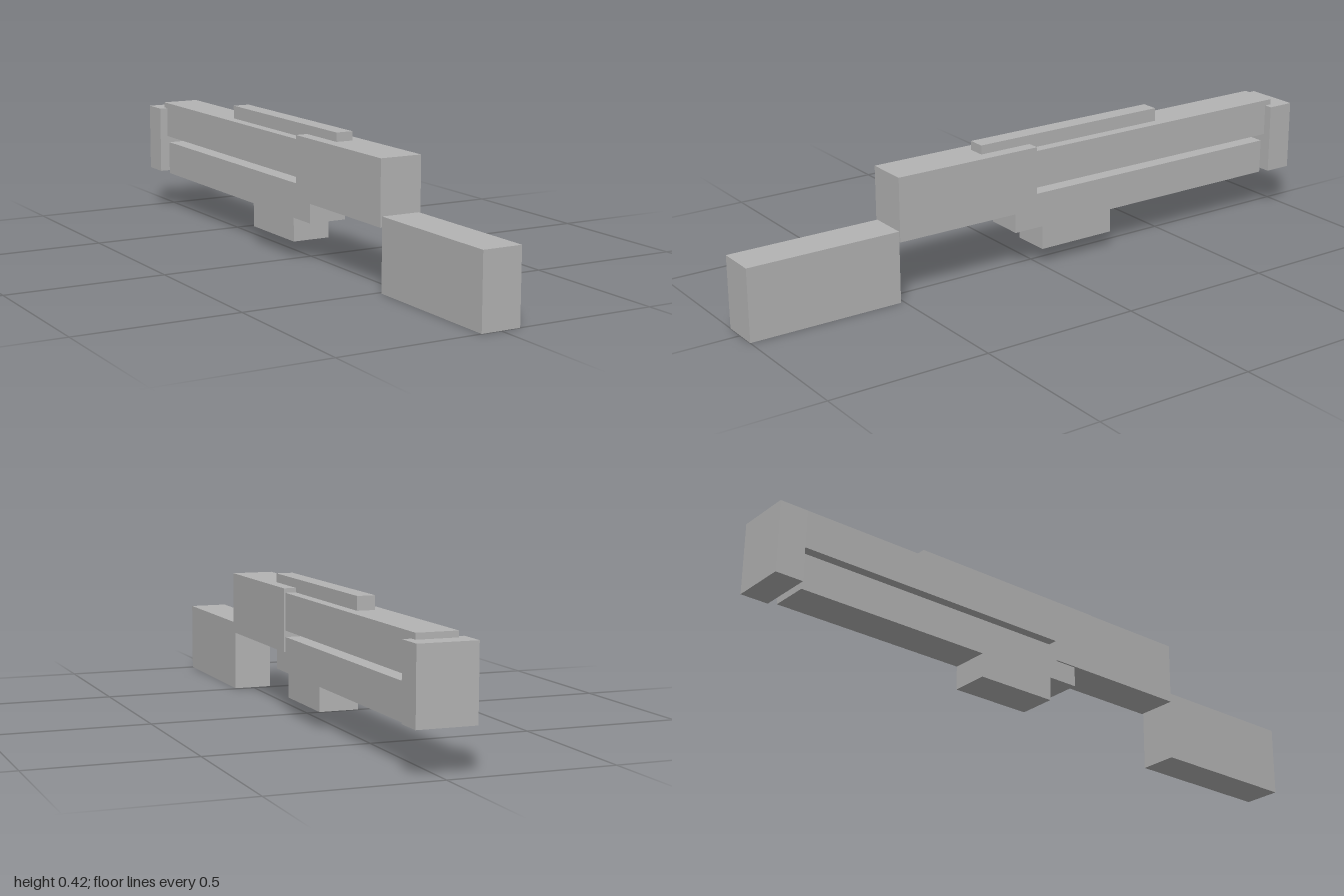
import * as THREE from 'three';

export function createModel() {
  const model = new THREE.Group();
  const grey = new THREE.MeshStandardMaterial({ color: 0xb3b3b3 });
  grey.name = 'plainGrey';

  // Box given by its width and its y and z ranges, centred on x
  function block(name, width, y0, y1, z0, z1) {
    const mesh = new THREE.Mesh(new THREE.BoxGeometry(width, y1 - y0, z1 - z0), grey);
    mesh.name = name;
    mesh.position.set(0, (y0 + y1) / 2, (z0 + z1) / 2);
    model.add(mesh);
  }

  block('frontBlock', 0.123, 0, 0.223, 0.511, 1);
  block('mainBody', 0.134, 0.191, 0.389, 0.024, 0.511);
  block('longBeam', 0.123, 0.258, 0.375, -0.935, 0.024);
  block('topRail', 0.055, 0.375, 0.417, -0.466, 0.2);
  block('endBlock', 0.177, 0.136, 0.357, -1, -0.912);

  // Lower beam with a step hanging below it, as one side profile (z, y)
  const profile = new THREE.Shape([
    [0.1, 0.238], [0.1, 0.128], [0, 0.128], [0, 0.053],
    [-0.264, 0.053], [-0.264, 0.128], [-0.899, 0.128], [-0.899, 0.238],
  ].map(([z, y]) => new THREE.Vector2(-z, y)));
  const geometry = new THREE.ExtrudeGeometry(profile, { depth: 0.123, bevelEnabled: false });
  geometry.translate(0, 0, -0.0615);
  geometry.rotateY(Math.PI / 2);
  const lowerBeam = new THREE.Mesh(geometry, grey);
  lowerBeam.name = 'lowerBeam';
  model.add(lowerBeam);

  return model;
}
